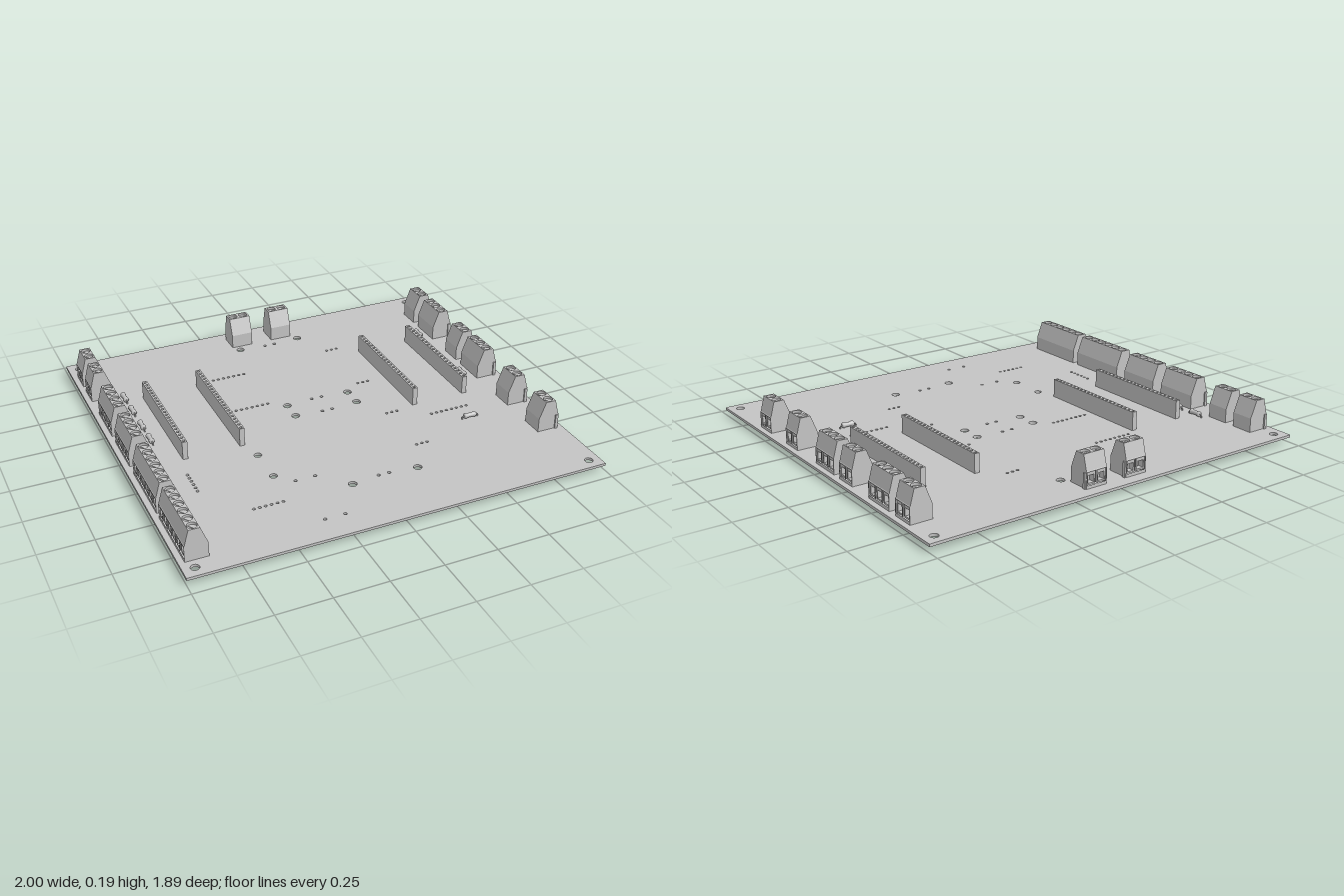
import * as THREE from 'three';

const BOARD_TOP = 0.038, BOARD_BOTTOM = 0.025, PITCH = 0.0275, POLE = 0.055;
const grey = new THREE.MeshStandardMaterial({ color: 0xc4c4c4, side: THREE.DoubleSide });
grey.name = 'plain grey';

function add(parent, name, geometry, x = 0, y = 0, z = 0) {
  const mesh = new THREE.Mesh(geometry, grey);
  mesh.name = name;
  mesh.position.set(x, y, z);
  parent.add(mesh);
  return mesh;
}

function rect(x, y, w, h, Type = THREE.Path) {
  const p = new Type();
  p.moveTo(x - w / 2, y - h / 2);
  p.lineTo(x + w / 2, y - h / 2);
  p.lineTo(x + w / 2, y + h / 2);
  p.lineTo(x - w / 2, y + h / 2);
  p.closePath();
  return p;
}

function circle(x, y, r) {
  const p = new THREE.Path();
  p.absarc(x, y, r, 0, Math.PI * 2, true);
  return p;
}

// Board with mounting holes and rows of drilled pads
function board() {
  const shape = rect(0, 0, 2, 1.89, THREE.Shape);
  const hole = (x, z, r = 0.008) => shape.holes.push(circle(x, -z, r));
  const row = (n, x, z, dx = PITCH, dz = 0) => {
    for (let i = 0; i < n; i++) hole(x + i * dx, z + i * dz, 0.007);
  };
  for (const x of [-0.945, 0.945]) for (const z of [-0.892, 0.892]) hole(x, z, 0.02);
  for (const z of [-0.745, -0.115, -0.012, 0.622]) for (const x of [-0.115, 0.21]) hole(x, z, 0.02);
  for (const z of [0.235, 0.42]) hole(-0.41, z, 0.018);
  for (const z of [-0.735, -0.127, 0, 0.607]) for (const x of [0.02, 0.073]) hole(x, z);
  for (const z of [0.495, 0.81]) for (const x of [-0.335, -0.24]) hole(x, z);
  for (const z of [-0.55, -0.173, 0.147, 0.452]) row(3, 0.295, z);
  row(8, -0.387, -0.497);
  row(8, -0.387, -0.173);
  row(8, 0.49, 0.24);
  row(6, -0.583, 0.618);
  row(6, -0.757, 0.255, 0, PITCH);
  const g = new THREE.ExtrudeGeometry(shape, {
    depth: BOARD_TOP - BOARD_BOTTOM, bevelEnabled: false, curveSegments: 8,
  });
  return g.rotateX(-Math.PI / 2).translate(0, BOARD_BOTTOM, 0);
}

// Housing outline as (z, y), from the inner foot over the top to the outer foot
const PROFILE = [
  [0.053, BOARD_TOP], [0.053, 0.107], [0.021, 0.19], [-0.03, 0.19],
  [-0.05, 0.118], [-0.053, 0.115], [-0.053, BOARD_TOP],
];
const SCREW_Z = -0.0045;

// Screw terminal block whose wire openings face -z
function terminal(poles) {
  const group = new THREE.Group();
  group.name = 'terminalBlock' + poles;
  const length = poles * POLE;
  const poleX = Array.from({ length: poles }, (_, i) => (i - (poles - 1) / 2) * POLE);
  const X = new THREE.Vector3(1, 0, 0);

  // Wall panels between neighbouring outline points
  for (let i = 0; i < PROFILE.length - 1; i++) {
    const [z0, y0] = PROFILE[i], [z1, y1] = PROFILE[i + 1];
    const up = new THREE.Vector3(0, y1 - y0, z1 - z0);
    const height = up.length();
    up.normalize();
    const shape = rect(0, height / 2, length, height, THREE.Shape);
    if (i === 2) for (const x of poleX) shape.holes.push(circle(x, 0.0255, 0.022));
    if (i === 5) for (const x of poleX) shape.holes.push(rect(x, 0.032, 0.046, 0.06));
    const basis = new THREE.Matrix4().makeBasis(X, up, X.clone().cross(up)).setPosition(0, y0, z0);
    add(group, 'housingWall', new THREE.ShapeGeometry(shape, 8).applyMatrix4(basis));
  }

  // End walls
  for (const s of [1, -1]) {
    const outline = new THREE.Shape(PROFILE.map(([z, y]) => new THREE.Vector2(-s * z, y)));
    add(group, 'endWall', new THREE.ShapeGeometry(outline), s * length / 2).rotation.y = s * Math.PI / 2;
  }
  add(group, 'joiningRib', new THREE.BoxGeometry(0.008, 0.072, 0.014), length / 2 + 0.003, 0.074, -0.043);

  // Screws, wire clamps and solder pins
  const clampShape = rect(0, 0, 0.046, 0.06, THREE.Shape);
  clampShape.holes.push(rect(0, -0.004, 0.032, 0.036));
  for (const x of poleX) {
    add(group, 'screwWell', new THREE.CylinderGeometry(0.022, 0.022, 0.014, 16, 1, true), x, 0.183, SCREW_Z);
    add(group, 'screwHead', new THREE.CylinderGeometry(0.022, 0.022, 0.004, 16), x, 0.176, SCREW_Z);
    add(group, 'screwSlot', new THREE.BoxGeometry(0.036, 0.003, 0.005), x, 0.179, SCREW_Z).rotation.y = 0.6;
    add(group, 'wireClamp', new THREE.ExtrudeGeometry(clampShape, { depth: 0.03, bevelEnabled: false }),
      x, 0.083, -0.048);
    add(group, 'clampBack', new THREE.BoxGeometry(0.046, 0.06, 0.004), x, 0.083, -0.018);
    add(group, 'solderPin', new THREE.CylinderGeometry(0.006, 0.006, 0.04, 8), x, 0.02, SCREW_Z);
  }
  return group;
}

// Tall socket strip along z with square contact openings
function header() {
  const group = new THREE.Group();
  group.name = 'socketStrip';
  const n = 22;
  const shape = rect(0, 0, 0.025, n * PITCH, THREE.Shape);
  for (let i = 0; i < n; i++) {
    const z = (i - (n - 1) / 2) * PITCH;
    shape.holes.push(rect(0, z, 0.012, 0.012));
    add(group, 'socketPin', new THREE.BoxGeometry(0.007, 0.035, 0.007), 0, 0.0255, z);
  }
  const g = new THREE.ExtrudeGeometry(shape, { depth: 0.092, bevelEnabled: false });
  add(group, 'socketBody', g.rotateX(-Math.PI / 2), 0, BOARD_TOP, 0);
  return group;
}

// Resistor lying along z with bent leads
function resistor() {
  const group = new THREE.Group();
  group.name = 'resistor';
  const half = [[0, 0.032], [0.009, 0.032], [0.0135, 0.028], [0.0135, 0.019], [0.011, 0.015]];
  const points = [...half.map(([r, h]) => [r, -h]), ...half.reverse()]
    .map(([r, h]) => new THREE.Vector2(r, h));
  add(group, 'resistorBody', new THREE.LatheGeometry(points, 14).rotateX(Math.PI / 2), 0, 0.053, 0);
  for (const s of [1, -1]) {
    const path = new THREE.CatmullRomCurve3([
      [0.03, 0.053], [0.037, 0.052], [0.041, 0.046], [0.041, 0.03], [0.041, 0.008],
    ].map(([z, y]) => new THREE.Vector3(0, y, s * z)));
    add(group, 'resistorLead', new THREE.TubeGeometry(path, 12, 0.0035, 6));
  }
  return group;
}

export function createModel() {
  const model = new THREE.Group();
  model.name = 'circuitBoard';
  const place = (part, x, z, turn = 0) => {
    part.position.set(x, 0, z);
    part.rotation.y = turn;
    model.add(part);
  };
  add(model, 'board', board());

  // Terminal blocks along the three edges: [poles, centre]
  const leftEdge = [[2, -0.705], [3, -0.518], [2, -0.24], [3, -0.052], [2, 0.268], [2, 0.537]];
  const rightEdge = [[2, -0.759], [2, -0.599], [4, -0.305], [4, -0.025], [6, 0.313], [6, 0.68]];
  for (const [n, z] of leftEdge) place(terminal(n), 0.92, z, -Math.PI / 2);
  for (const [n, z] of rightEdge) place(terminal(n), -0.92, z, Math.PI / 2);
  for (const x of [-0.089, 0.13]) place(terminal(2), x, -0.836);

  for (const x of [-0.722, -0.445, 0.457, 0.732]) place(header(), x, -0.172);

  for (const z of [-0.495, -0.362, -0.213, -0.083]) place(resistor(), -0.822, z);
  for (const z of [-0.505, -0.04]) place(resistor(), 0.817, z);
  place(resistor(), 0.64, 0.346, Math.PI / 2);
  return model;
}
